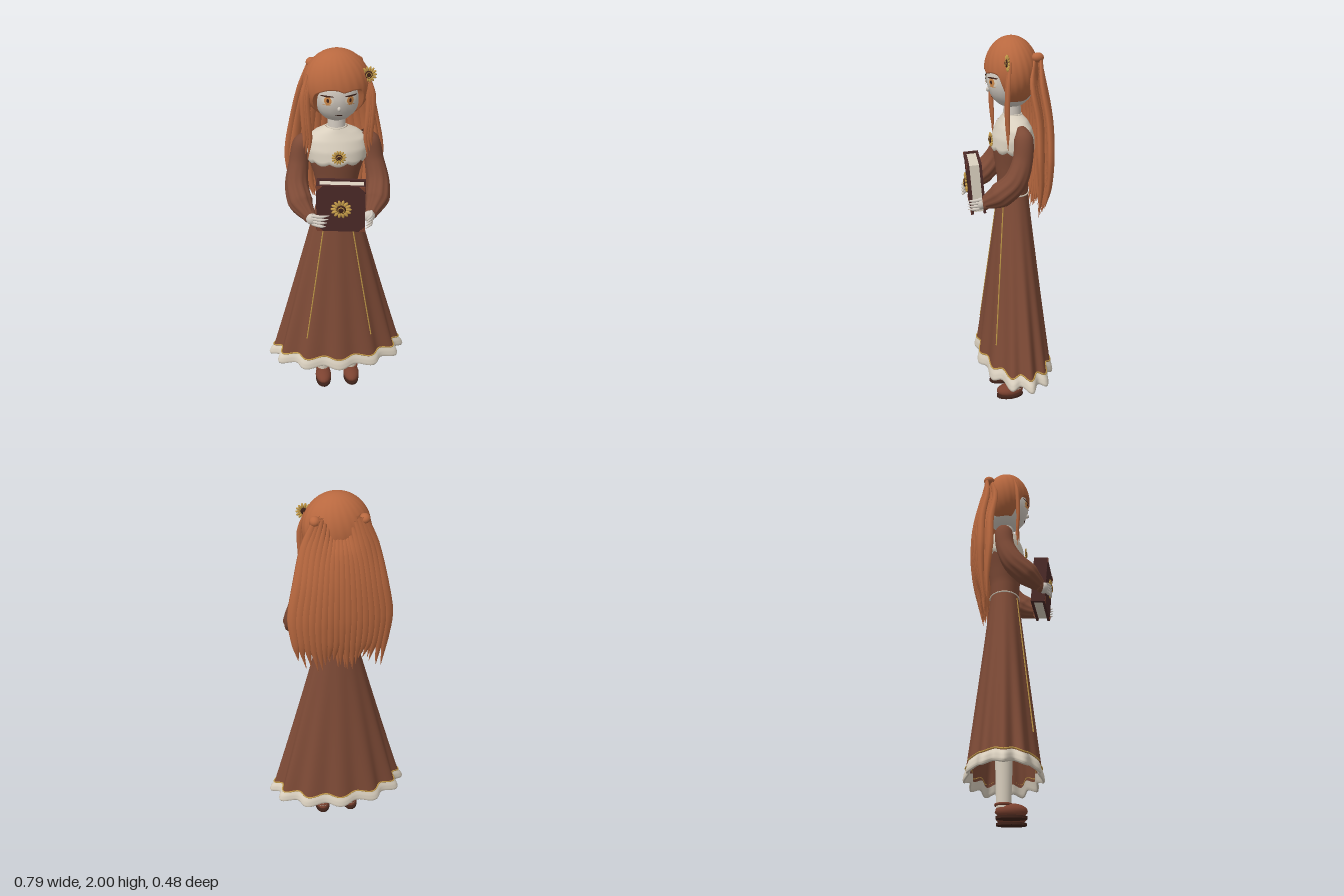
import * as THREE from 'three';
import { mergeVertices } from 'three/addons/utils/BufferGeometryUtils.js';

const mat = (name, color) => new THREE.MeshStandardMaterial({ name, color, side: THREE.DoubleSide });
const M = {
  hair: mat('copper hair', 0xb8683f), dress: mat('brown dress', 0x7d4a36), cream: mat('cream cloth', 0xd9cfbe),
  skin: mat('pale skin', 0xd0c8be), cover: mat('book cover', 0x4c2a28), gold: mat('gold', 0xc39a48),
  dark: mat('dark brown', 0x3f2219), shoe: mat('shoe leather', 0x7c4230), iris: mat('amber iris', 0xd08a4a),
};
const V = (x, y, z) => new THREE.Vector3(x, y, z);
const TAU = Math.PI * 2, { sin, cos, abs, sqrt } = Math;
const smooth = THREE.MathUtils.smoothstep, lerp = THREE.MathUtils.lerp;

function add(parent, name, geo, material) {
  const m = new THREE.Mesh(geo, material);
  m.name = name;
  parent.add(m);
  return m;
}

// Closed surface: fn(angle, v) gives a point; v runs from 0 to 1
function grid(fn, nu, nv) {
  const pos = [], idx = [];
  for (let j = 0; j <= nv; j++) for (let i = 0; i < nu; i++) pos.push(...fn(i / nu * TAU, j / nv).toArray());
  for (let j = 0; j < nv; j++) for (let i = 0; i < nu; i++) {
    const k = (i + 1) % nu, a = j * nu + i, b = j * nu + k, c = a + nu, d = b + nu;
    idx.push(a, b, c, b, d, c);
  }
  let g = new THREE.BufferGeometry();
  g.setAttribute('position', new THREE.Float32BufferAttribute(pos, 3));
  g.setIndex(idx);
  g = mergeVertices(g, 1e-5);
  g.computeVertexNormals();
  return g;
}

// Value along an evenly spaced list
function along(list, v) {
  const f = v * (list.length - 1), i = Math.min(Math.floor(f), list.length - 2);
  return lerp(list[i], list[i + 1], f - i);
}

// Tapered strand along a path; flat is depth over width, out is the outward direction
function strand(points, radii, flat, out, nu = 8, nv = 20, ripple = () => 1) {
  const curve = new THREE.CatmullRomCurve3(points);
  return grid((t, v) => {
    const p = curve.getPoint(v), T = curve.getTangent(v), r = along(radii, v) * ripple(t, v);
    const side = out.clone().cross(T).normalize(), n = T.clone().cross(side);
    return p.addScaledVector(side, cos(t) * r).addScaledVector(n, sin(t) * r * flat);
  }, nu, nv);
}

const tube = (pts, r, closed) =>
  new THREE.TubeGeometry(new THREE.CatmullRomCurve3(pts, closed), pts.length * 2, r, 5, closed);

function ball(parent, name, m, p, s) {
  const b = add(parent, name, new THREE.SphereGeometry(1, 16, 12), m);
  b.position.set(...p);
  b.scale.set(...s);
  return b;
}

// Sunflower facing +z
function flower(name, r, p) {
  const g = new THREE.Group();
  g.name = name;
  for (let i = 0; i < 14; i++) {
    const a = i / 14 * TAU;
    ball(g, 'petal', M.gold, [cos(a) * r * 0.7, sin(a) * r * 0.7, 0], [r * 0.32, r * 0.15, r * 0.12]).rotation.z = a;
  }
  ball(g, 'flowerCentre', M.dark, [0, 0, r * 0.06], [r * 0.46, r * 0.46, r * 0.22]);
  add(g, 'flowerRing', new THREE.TorusGeometry(r * 0.3, r * 0.05, 5, 18), M.gold).position.z = r * 0.22;
  g.position.set(...p);
  return g;
}

// Pleated skirt surface
function skirtPoint(t, y, scale = 1) {
  const f = (1.2 - y) / 0.95, k = scale * (1 + 0.055 * Math.max(f, 0) * cos(12 * t));
  const a = lerp(0.1, 0.35, f), b = lerp(0.077, 0.18, f);
  return V(a * k * cos(t), y - 0.009 * f * cos(12 * t), -0.04 + b * k * sin(t));
}
const ring = (y, s) => Array.from({ length: 96 }, (_, i) => skirtPoint(i / 96 * TAU, y, s));

// Bodice cross-sections, from neck to waist: [y, rx, rz, cz]
const bodice = [[1.61, 0.046, 0.042, -0.035], [1.585, 0.1, 0.06, -0.042], [1.55, 0.146, 0.078, -0.042], [1.5, 0.153, 0.096, -0.04],
  [1.44, 0.143, 0.102, -0.038], [1.36, 0.12, 0.09, -0.038], [1.28, 0.103, 0.08, -0.038], [1.2, 0.1, 0.077, -0.04]];
function bodicePoint(t, v, grow = 0) {
  const [y, a, b, c] = [0, 1, 2, 3].map(k => along(bodice.map(r => r[k]), v));
  return V((a + grow) * cos(t), y, c + (b + grow) * sin(t));
}

const faceZ = (x, y) => -0.03 + 0.125 * sqrt(Math.max(0, 1 - (x / 0.122) ** 2 - ((y - 1.79) / 0.145) ** 2));
const facePatch = (x, y, w, h, lift) => grid((t, v) => {
  const px = x + w * cos(t) * (1 - v), py = y + h * sin(t) * (1 - v);
  return V(px, py, faceZ(px, py) + lift);
}, 20, 4);

function makeHead(g) {
  ball(g, 'head', M.skin, [0, 1.79, -0.03], [0.122, 0.145, 0.125]);
  ball(g, 'nose', M.skin, [0, 1.742, 0.089], [0.009, 0.012, 0.011]);
  add(g, 'neck', new THREE.CylinderGeometry(0.042, 0.047, 0.1, 24), M.skin).position.set(0, 1.635, -0.035);
  add(g, 'mouth', facePatch(0, 1.703, 0.018, 0.0035, 0.002), M.dark);
  for (const s of [-1, 1]) {
    add(g, 'eyeWhite', facePatch(s * 0.055, 1.784, 0.028, 0.022, 0.002), M.cream);
    add(g, 'iris', facePatch(s * 0.054, 1.784, 0.017, 0.021, 0.004), M.iris);
    add(g, 'pupil', facePatch(s * 0.054, 1.785, 0.006, 0.01, 0.006), M.dark);
    add(g, 'upperLash', facePatch(s * 0.057, 1.806, 0.031, 0.004, 0.006), M.dark);
    add(g, 'lowerLash', facePatch(s * 0.057, 1.763, 0.02, 0.002, 0.005), M.iris);
  }
}

function makeHair(g) {
  // Cap with a scalloped fringe; the last ring turns in to meet the head
  add(g, 'hairCap', grid((t, v) => {
    let p = t - Math.PI / 2;
    if (p > Math.PI) p -= TAU;
    const fringe = 1.825 + 0.018 * abs(sin(3.5 * p + 0.5)) - 0.02 * abs(p);
    const cut = lerp(fringe, 1.69, smooth(abs(p), 0.72, 1.2));
    const th = Math.min(1, v / 0.94) * Math.acos((cut - 1.83) / 0.17);
    const k = (1 + 0.008 * cos(24 * p + 5 * th) * sin(th)) * (v > 0.97 ? 0.8 : 1);
    return V(0.163 * k * sin(th) * sin(-p), 1.83 + 0.17 * cos(th), -0.03 + 0.133 * k * sin(th) * cos(p));
  }, 96, 24), M.hair);

  // Long back locks in two layers
  for (const [n, dz, k] of [[17, 0, 1], [12, 0.045, 0.9]]) for (let i = 0; i < n; i++) {
    const s = (i / (n - 1)) * 2 - 1, e = abs(s), j = sin(i * 7.3 + n);
    const z = 0.045 * s * s + dz, lift = 0.08 * smooth(e, 0.25, 0.8);
    add(g, 'backLock', strand([
      V(s * 0.115 * k, 1.84 + lift, -0.145 + dz * 0.5), V(s * 0.165 * k, 1.75 + lift * 0.4, -0.185 + z),
      V(s * 0.205 * k, 1.6, -0.21 + z), V(s * 0.235 * k, 1.42, -0.212 + z),
      V(s * 0.225 * k, 1.27, -0.195 + z * 0.7), V((s * 0.2 + j * 0.012) * k, 1.13 + j * 0.035, -0.165 + z * 0.4),
    ], [0.012, 0.024, 0.029, 0.03, 0.022, 0.001], 0.6, V(s * 0.6, 0, -1).normalize()), M.hair);
  }
  // Gathered tufts and front side locks
  for (const s of [-1, 1]) {
    ball(g, 'gatheredTuft', M.hair, [s * 0.115, 1.905, -0.13], [0.026, 0.024, 0.03]);
    for (let i = 0; i < 3; i++) add(g, 'sideLock', strand([
      V(s * (0.125 + 0.008 * i), 1.89, 0.015), V(s * (0.15 + 0.008 * i), 1.79, 0.03), V(s * (0.145 + 0.01 * i), 1.65, 0.034),
      V(s * (0.138 + 0.012 * i), 1.57, 0.03), V(s * (0.15 + 0.01 * i), 1.46 + 0.03 * i, 0.028),
    ], [0.008, 0.017, 0.015, 0.012, 0.001], 0.7, V(0, 0, 1)), M.hair);
  }
  g.add(flower('hairFlower', 0.04, [0.146, 1.888, 0.032]));
}

function makeDress(g) {
  add(g, 'bodice', grid((t, v) => bodicePoint(t, v), 40, 28), M.dress);
  add(g, 'collar', grid((t, v) => bodicePoint(t, v * (0.57 + 0.03 * abs(sin(5 * t))), v > 0.96 ? 0.001 : 0.008), 80, 24), M.cream);
  add(g, 'collarBand', new THREE.TorusGeometry(0.046, 0.006, 6, 32).rotateX(Math.PI / 2), M.cream).position.set(0, 1.61, -0.035);
  g.add(flower('brooch', 0.037, [0, 1.485, 0.078]));
  add(g, 'skirt', grid((t, v) => skirtPoint(t, lerp(1.2, 0.25, v)), 144, 24), M.dress);
  add(g, 'waistPiping', tube(ring(1.2, 1.02), 0.004, true), M.cream);
  // Rolled hem: out, down and back up inside
  const hem = [[0.262, 1.005], [0.24, 1.035], [0.215, 1.04], [0.203, 1.02], [0.205, 0.97], [0.25, 0.95]];
  add(g, 'hemTrim', grid((t, v) => skirtPoint(t, along(hem.map(h => h[0]), v), along(hem.map(h => h[1]), v)), 144, 15), M.cream);
  add(g, 'hemPiping', tube(ring(0.268, 1.012), 0.004, true), M.gold);
  for (const t of [0.98, Math.PI - 0.98]) add(g, 'skirtPiping',
    tube(Array.from({ length: 16 }, (_, i) => skirtPoint(t, 1.18 - i * 0.052, 1.01)), 0.0035, false), M.gold);
}

function makeArm(g, s) {
  const arm = new THREE.Group();
  arm.name = s > 0 ? 'leftArm' : 'rightArm';
  g.add(arm);
  const path = [V(s * 0.125, 1.565, -0.045), V(s * 0.17, 1.52, -0.045), V(s * 0.192, 1.42, -0.035),
    V(s * 0.208, 1.315, 0.01), V(s * 0.195, 1.25, 0.08), V(s * 0.158, 1.205, 0.145)];
  add(arm, 'sleeve', strand(path, [0.02, 0.048, 0.05, 0.058, 0.062, 0.034], 1, V(s * 0.9, 0, -0.3), 40, 36,
    (t, v) => 1 + 0.05 * smooth(v, 0.35, 0.7) * cos(10 * t)), M.dress);
  ball(arm, 'cuff', M.dress, [s * 0.157, 1.203, 0.147], [0.035, 0.036, 0.02]);
  ball(arm, 'palm', M.skin, [s * 0.144, 1.197, 0.168], [0.03, 0.03, 0.024]);
  // Fingers: spread over the cover on the right, curled round the edge on the left
  for (let i = 0; i < 4; i++) {
    const y = 1.222 - i * 0.015;
    const pts = s < 0 ? [V(-0.145, y, 0.18), V(-0.105, y + 0.006 - i * 0.003, 0.205), V(-0.06 - 0.006 * i, y + 0.012 - i * 0.005, 0.21)]
      : [V(0.155, y, 0.165), V(0.15, y - 0.006, 0.2), V(0.118, y - 0.015, 0.231)];
    add(arm, 'finger', strand(pts, [0.009, 0.0085, 0.007, 0.001], 1, V(0, 1, 0), 8, 10), M.skin);
  }
}

function makeBook(g) {
  const book = new THREE.Group();
  book.name = 'book';
  book.position.set(0.003, 1.266, 0.165);
  book.rotation.set(0.08, -0.16, 0, 'YXZ');
  g.add(book);
  const box = (name, m, w, h, d, x, z) => add(book, name, new THREE.BoxGeometry(w, h, d), m).position.set(x, 0, z);
  for (const s of [-1, 1]) box('cover', M.cover, 0.24, 0.265, 0.013, 0, s * 0.031);
  box('spine', M.cover, 0.014, 0.265, 0.074, -0.115, 0);
  box('pages', M.cream, 0.218, 0.245, 0.05, 0.002, 0);
  // Corner guards
  for (const x of [-1, 1]) for (const y of [-1, 1]) {
    const c = new THREE.Shape([[0, 0], [-x * 0.03, 0], [0, -y * 0.03]].map(p => new THREE.Vector2(...p)));
    add(book, 'cornerGuard', new THREE.ExtrudeGeometry(c, { depth: 0.003, bevelEnabled: false }), M.shoe)
      .position.set(x * 0.12, y * 0.132, 0.037);
  }
  book.add(flower('bookFlower', 0.052, [0.002, 0.005, 0.046]));
}

function makeLeg(g, s) {
  const leg = new THREE.Group();
  leg.name = s > 0 ? 'leftLeg' : 'rightLeg';
  leg.position.x = s * 0.083;
  g.add(leg);
  add(leg, 'stocking', new THREE.CylinderGeometry(0.05, 0.036, 0.5, 24), M.cream).position.set(0, 0.3, -0.04);
  ball(leg, 'shoe', M.shoe, [0, 0.037, -0.003], [0.046, 0.036, 0.077]);
  const sole = add(leg, 'sole', new THREE.CylinderGeometry(1, 1, 0.012, 28), M.dark);
  sole.position.set(0, 0.006, -0.003);
  sole.scale.set(0.044, 1, 0.076);
  add(leg, 'ankleStrap', new THREE.TorusGeometry(0.038, 0.007, 8, 28).rotateX(Math.PI / 2), M.shoe).position.set(0, 0.066, -0.04);
}

export function createModel() {
  const g = new THREE.Group();
  g.name = 'girlWithBook';
  makeHead(g);
  makeHair(g);
  makeDress(g);
  makeBook(g);
  for (const s of [-1, 1]) {
    makeArm(g, s);
    makeLeg(g, s);
  }
  return g;
}
